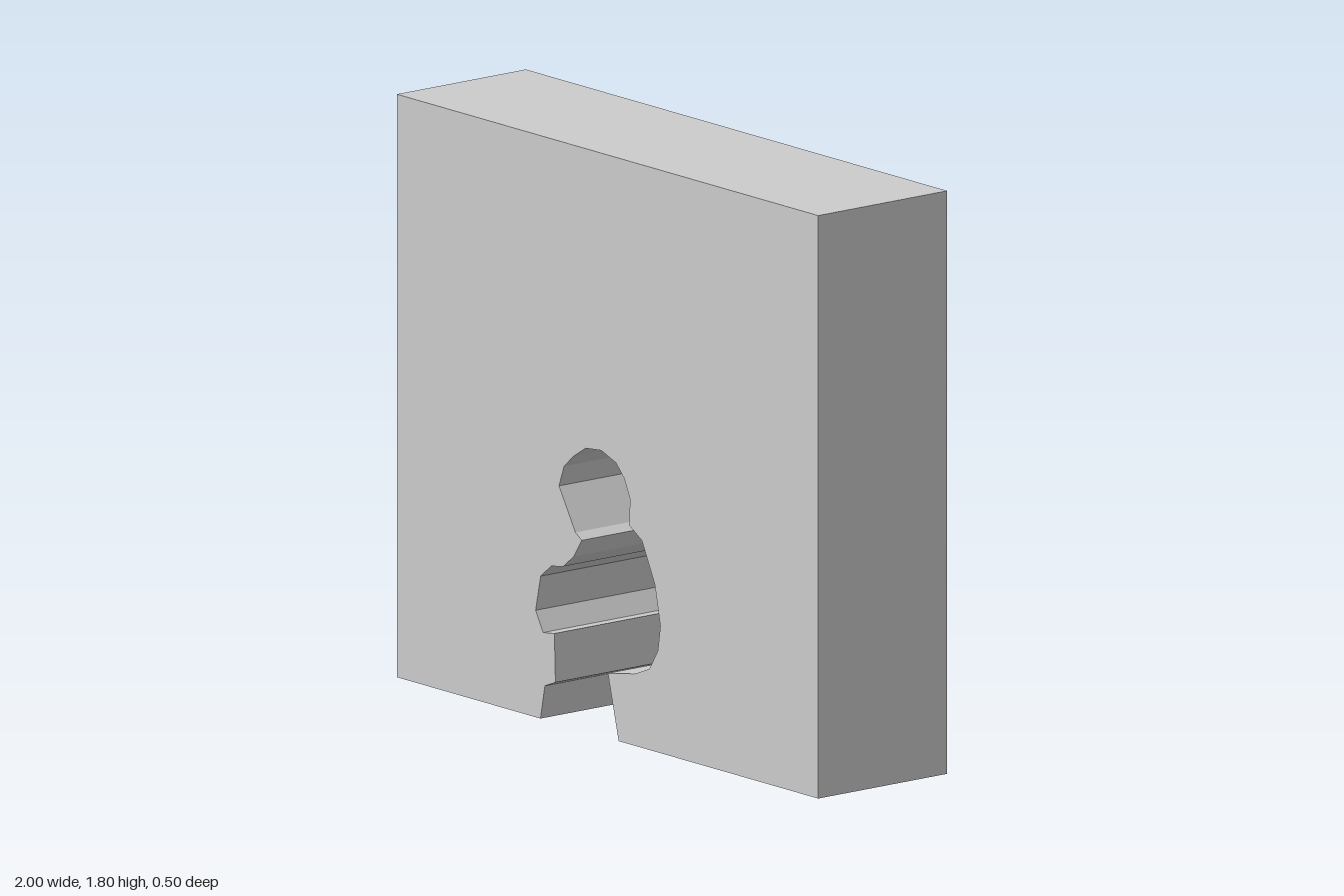
import * as THREE from 'three';

const HEIGHT = 1.8;
const DEPTH = 0.5;

// Outline of the ragged opening, from its left foot over the top to its right foot.
const opening = [
  [-0.318, 0], [-0.297, 0.105], [-0.247, 0.125], [-0.252, 0.275], [-0.305, 0.268],
  [-0.341, 0.33], [-0.317, 0.44], [-0.268, 0.48], [-0.21, 0.49], [-0.16, 0.53],
  [-0.122, 0.587], [-0.152, 0.606], [-0.23, 0.735], [-0.206, 0.8], [-0.163, 0.838],
  [-0.103, 0.875], [-0.03, 0.882], [0.04, 0.857], [0.08, 0.815], [0.107, 0.757],
  [0.103, 0.676], [0.163, 0.64], [0.225, 0.515], [0.251, 0.392], [0.239, 0.313],
  [0.199, 0.25], [0.13, 0.222], [0.002, 0.2], [0.053, 0],
];

export function createModel() {
  const group = new THREE.Group();
  group.name = 'wallWithOpening';

  // Wall face: a rectangle whose bottom edge is broken by the opening.
  const outline = [[-1, 0], ...opening, [1, 0], [1, HEIGHT], [-1, HEIGHT]];
  const shape = new THREE.Shape(outline.map(([x, y]) => new THREE.Vector2(x, y)));

  // Straight extrusion through the wall's thickness, centred on z = 0.
  const geometry = new THREE.ExtrudeGeometry(shape, { depth: DEPTH, bevelEnabled: false });
  geometry.translate(0, 0, -DEPTH / 2);

  const material = new THREE.MeshStandardMaterial({ color: 0xcccccc, flatShading: true });
  const wall = new THREE.Mesh(geometry, material);
  wall.name = 'wall';
  group.add(wall);
  return group;
}
